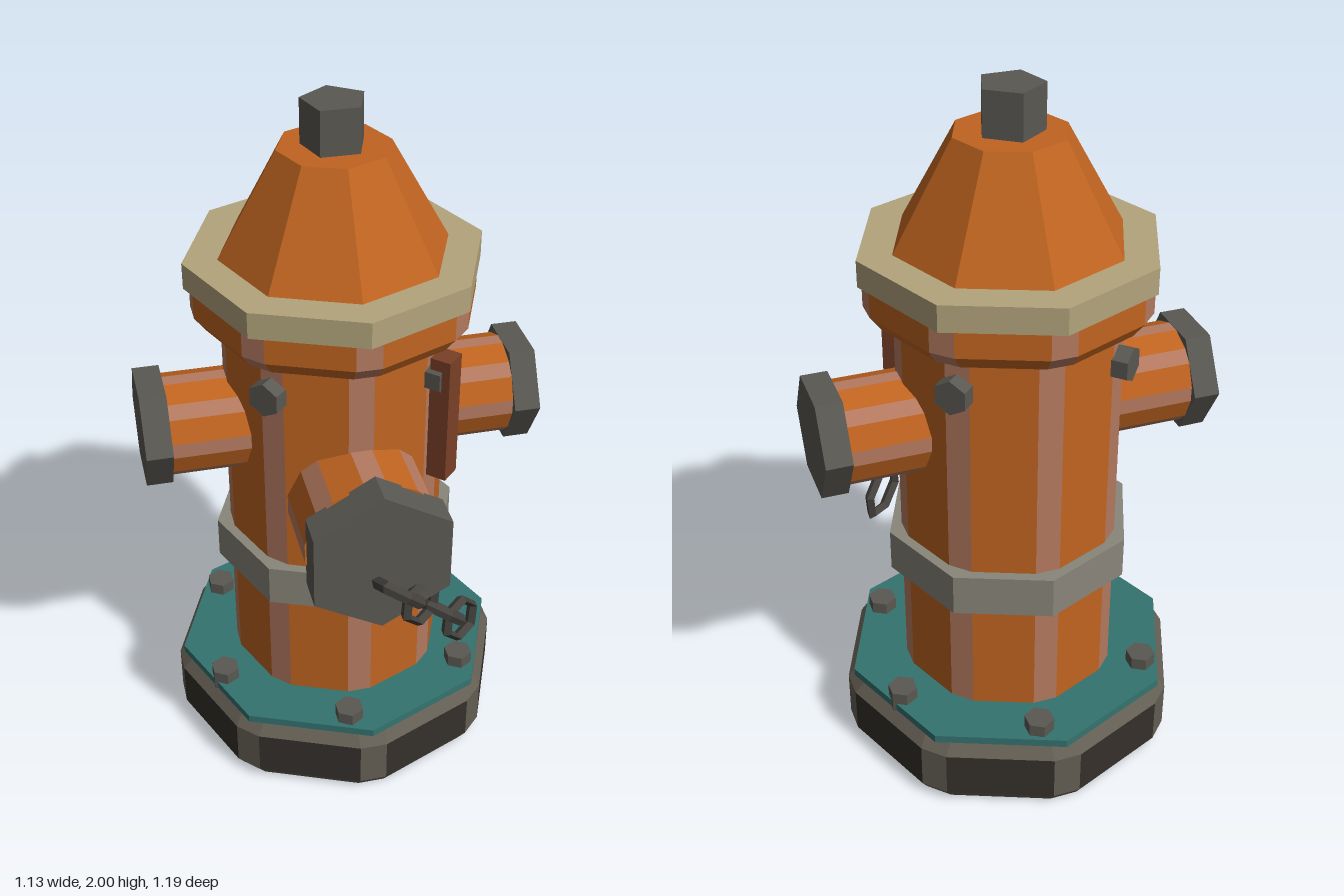
import * as THREE from 'three';

const CZ = -0.09; // barrel axis
const mat = (color) => new THREE.MeshStandardMaterial({ color, flatShading: true });
const ORANGE = mat(0xc06420), WORN = mat(0xb47a60), DARK = mat(0x5a5852), BLACK = mat(0x35302b),
  BASE_EDGE = mat(0x635e53), TEAL = mat(0x347370), BEIGE = mat(0xb3a47c), GREY = mat(0x89857a),
  BROWN = mat(0x7a4026), CHAIN = mat(0x45423e);

function add(parent, name, geometry, material, x = 0, y = 0, z = 0) {
  const mesh = new THREE.Mesh(geometry, material);
  mesh.name = name;
  mesh.position.set(x, y, z);
  parent.add(mesh);
  return mesh;
}

// Straight or tapered prism standing from y0 to y1
function prism(parent, name, material, sides, rTop, rBottom, y0, y1, x = 0, z = CZ) {
  return add(parent, name, new THREE.CylinderGeometry(rTop, rBottom, y1 - y0, sides),
    material, x, (y0 + y1) / 2, z);
}

// Octagonal prism with bevelled corners; profile rows are [radius, y, isEdge],
// where isEdge gives the strip above that row the edge material
function bevelled(name, profile, half, faceMat, edgeMat) {
  const face = [], edge = [];
  const ring = profile.map(([r, y]) => Array.from({ length: 16 }, (_, i) => {
    const a = Math.floor(i / 2) * Math.PI / 4 + (i % 2 ? 1 : -1) * Math.atan(half / r);
    const d = Math.hypot(r, half);
    return [Math.sin(a) * d, y, Math.cos(a) * d];
  }));
  for (let k = 0; k < ring.length - 1; k++) {
    for (let i = 0; i < 16; i++) {
      const j = (i + 1) % 16;
      const [a, b, c, d] = [ring[k][i], ring[k][j], ring[k + 1][j], ring[k + 1][i]];
      (profile[k][2] || i % 2 === 0 ? edge : face).push(...a, ...b, ...c, ...a, ...c, ...d);
    }
  }
  // end caps
  const low = ring[0], high = ring[ring.length - 1];
  for (let i = 1; i < 15; i++) {
    face.push(...low[0], ...low[i + 1], ...low[i]);
    face.push(...high[0], ...high[i], ...high[i + 1]);
  }
  const group = new THREE.Group();
  group.name = name;
  [[face, faceMat, 'Faces'], [edge, edgeMat, 'Edges']].forEach(([list, m, suffix]) => {
    const g = new THREE.BufferGeometry();
    g.setAttribute('position', new THREE.Float32BufferAttribute(list, 3));
    g.computeVertexNormals();
    add(group, name + suffix, g, m);
  });
  return group;
}

export function createModel() {
  const model = new THREE.Group();
  model.name = 'fireHydrant';
  const addBevelled = (...args) => {
    const part = bevelled(...args);
    part.position.z = CZ;
    model.add(part);
    return part;
  };

  // Base and flange plate
  addBevelled('base', [[0.475, 0, true], [0.5, 0.035], [0.5, 0.175, true], [0.47, 0.21]],
    0.04, BLACK, BASE_EDGE);
  prism(model, 'flangePlate', TEAL, 8, 0.49, 0.49, 0.208, 0.232);

  // Six bolts on the plate
  for (let i = 0; i < 6; i++) {
    const a = THREE.MathUtils.degToRad(22.4 + i * 60);
    prism(model, 'baseBolt', DARK, 6, 0.043, 0.043, 0.205, 0.27,
      Math.cos(a) * 0.416, CZ - Math.sin(a) * 0.416);
  }

  // Barrel, band and collar
  addBevelled('barrel', [[0.315, 0.22], [0.315, 1.42]], 0.035, ORANGE, WORN);
  prism(model, 'barrelBand', GREY, 8, 0.36, 0.36, 0.585, 0.71);
  addBevelled('collar', [[0.365, 1.39], [0.395, 1.43], [0.395, 1.52]], 0.035, ORANGE, WORN);
  prism(model, 'collarRing', BEIGE, 8, 0.415, 0.415, 1.505, 1.58);

  // Bonnet and operating nut
  prism(model, 'bonnet', ORANGE, 8, 0.155, 0.322, 1.575, 1.875);
  prism(model, 'topNut', DARK, 5, 0.09, 0.09, 1.87, 2.0).rotation.y = Math.PI;

  // Side outlets with hexagonal caps
  for (const side of [-1, 1]) {
    const outlet = new THREE.Group();
    outlet.name = side > 0 ? 'leftOutlet' : 'rightOutlet';
    outlet.add(bevelled('sidePipe', [[0.143, 0.2], [0.143, 0.5]], 0.022, ORANGE, WORN));
    prism(outlet, 'sideCap', DARK, 6, 0.167, 0.167, 0.49, 0.565, 0, 0);
    outlet.rotation.z = -side * Math.PI / 2;
    outlet.position.set(0, 1.08, CZ);
    model.add(outlet);
  }

  // Large front outlet
  const front = new THREE.Group();
  front.name = 'frontOutlet';
  front.add(bevelled('frontPipe', [[0.193, 0.1], [0.193, 0.385]], 0.03, ORANGE, WORN));
  prism(front, 'frontCap', DARK, 6, 0.217, 0.217, 0.375, 0.475, 0, 0);
  front.rotation.x = Math.PI / 2;
  front.position.y = 0.93;
  model.add(front);

  // Four bolts around the upper barrel
  for (let i = 0; i < 4; i++) {
    const arm = new THREE.Group();
    arm.name = 'barrelBolt';
    prism(arm, 'boltHead', DARK, 6, 0.05, 0.05, 0.28, 0.358, 0, 0).rotation.x = Math.PI / 2;
    arm.children[0].position.set(0, 0, 0.319);
    arm.position.set(0, 1.285, CZ);
    arm.rotation.y = Math.PI / 4 + i * Math.PI / 2;
    model.add(arm);
  }

  // Upright bar on the front left corner
  const r = 0.345 * Math.SQRT1_2;
  add(model, 'uprightBar', new THREE.BoxGeometry(0.065, 0.385, 0.06), BROWN, r + 0.005, 1.158, CZ + r + 0.005)
    .rotation.y = Math.PI / 4;

  // Hanging chain of alternating hexagonal links
  const start = new THREE.Vector3(-0.02, 0.935, 0.57), end = new THREE.Vector3(0.32, 0.495, 0.29);
  const along = end.clone().sub(start);
  const length = along.length();
  along.normalize();
  const level = new THREE.Vector3().crossVectors(along, new THREE.Vector3(0, 1, 0)).normalize();
  const steep = new THREE.Vector3().crossVectors(along, level);
  const linkShape = new THREE.TorusGeometry(0.085, 0.017, 4, 6).scale(1, 0.72, 1);
  for (let i = 0; i < 4; i++) {
    const across = i % 2 ? steep : level;
    const link = add(model, 'chainLink', linkShape, CHAIN);
    link.quaternion.setFromRotationMatrix(new THREE.Matrix4().makeBasis(
      along, across, new THREE.Vector3().crossVectors(along, across)));
    link.position.copy(start).addScaledVector(along, 0.09 + i * (length - 0.18) / 3);
  }
  return model;
}
